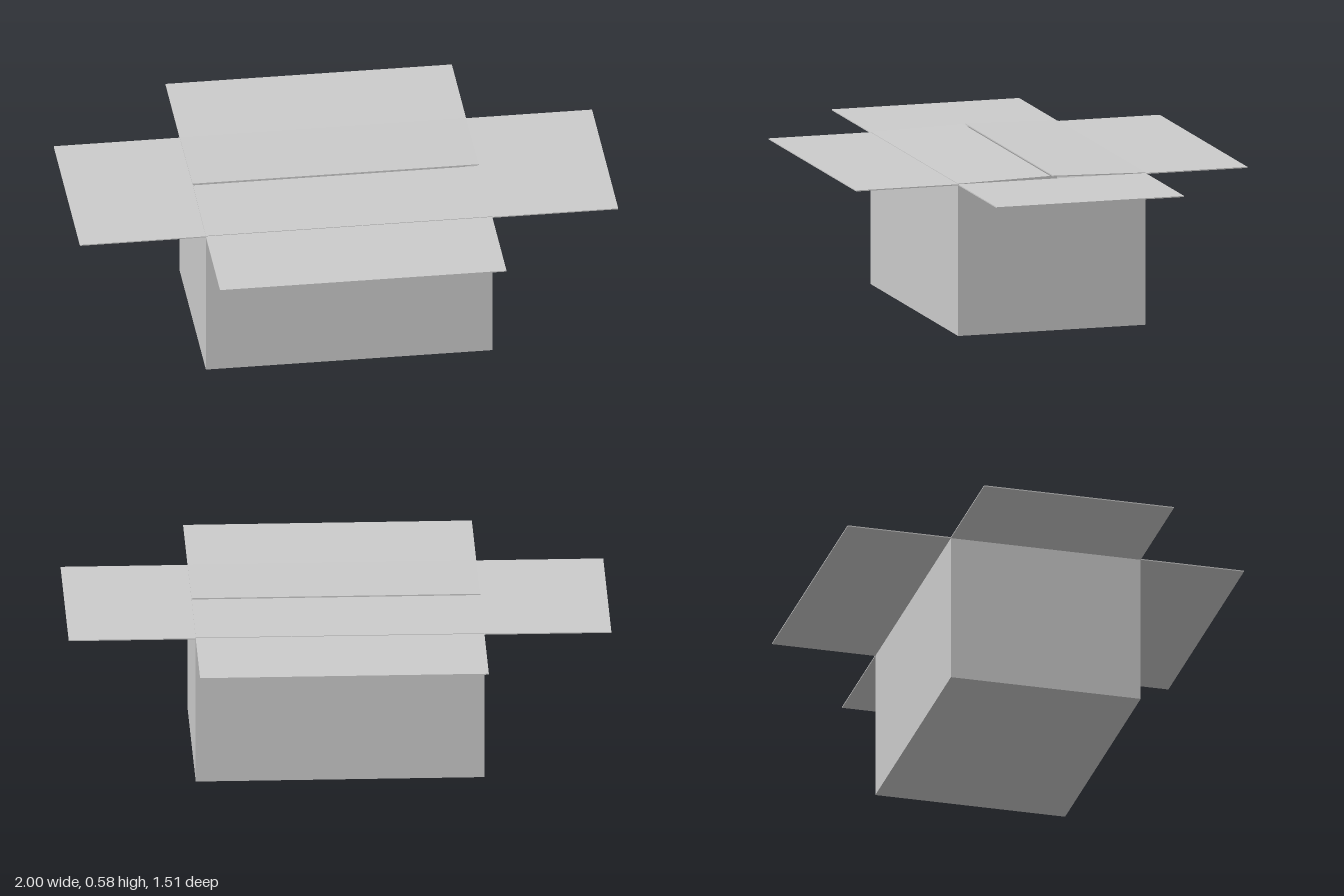
import * as THREE from 'three';

const W = 0.532, D = 0.362, H = 0.567; // half width, half depth, wall height
const T = 0.004; // board thickness

export function createModel() {
  const model = new THREE.Group();
  const material = new THREE.MeshStandardMaterial({ color: 0xcccccc, flatShading: true });

  function board(name, size, position, parent = model) {
    const mesh = new THREE.Mesh(new THREE.BoxGeometry(...size), material);
    mesh.name = name;
    mesh.position.set(...position);
    parent.add(mesh);
    return mesh;
  }

  // Base of the carton
  board('bottom', [2 * W, T, 2 * D], [0, T / 2, 0]);

  for (const s of [1, -1]) {
    const end = s > 0 ? 'front' : 'back';
    const side = s > 0 ? 'left' : 'right';

    // Upright walls
    board(end + 'Wall', [2 * W, H - T, T], [0, (H + T) / 2, s * (D - T / 2)]);
    board(side + 'Wall', [T, H - T, 2 * (D - T)], [s * (W - T / 2), (H + T) / 2, 0]);

    // Flaps folded flat outwards
    const reach = 0.756 - D;
    board(end + 'OpenFlap', [2 * W, T, reach], [0, H, s * (D + reach / 2)]);
    board(side + 'OpenFlap', [1 - W, T, 2 * D], [s * (W + (1 - W) / 2), H, 0]);

    // Lid flaps rising slightly from the fold to a narrow centre slit
    const hinge = new THREE.Group();
    hinge.name = end + 'LidFlap';
    hinge.position.set(0, H + T / 2, s * D);
    hinge.rotation.x = s * 0.024;
    const length = D - 0.006;
    board(end + 'LidPanel', [2 * W, T, length], [0, 0, -s * length / 2], hinge);
    model.add(hinge);
  }
  return model;
}
